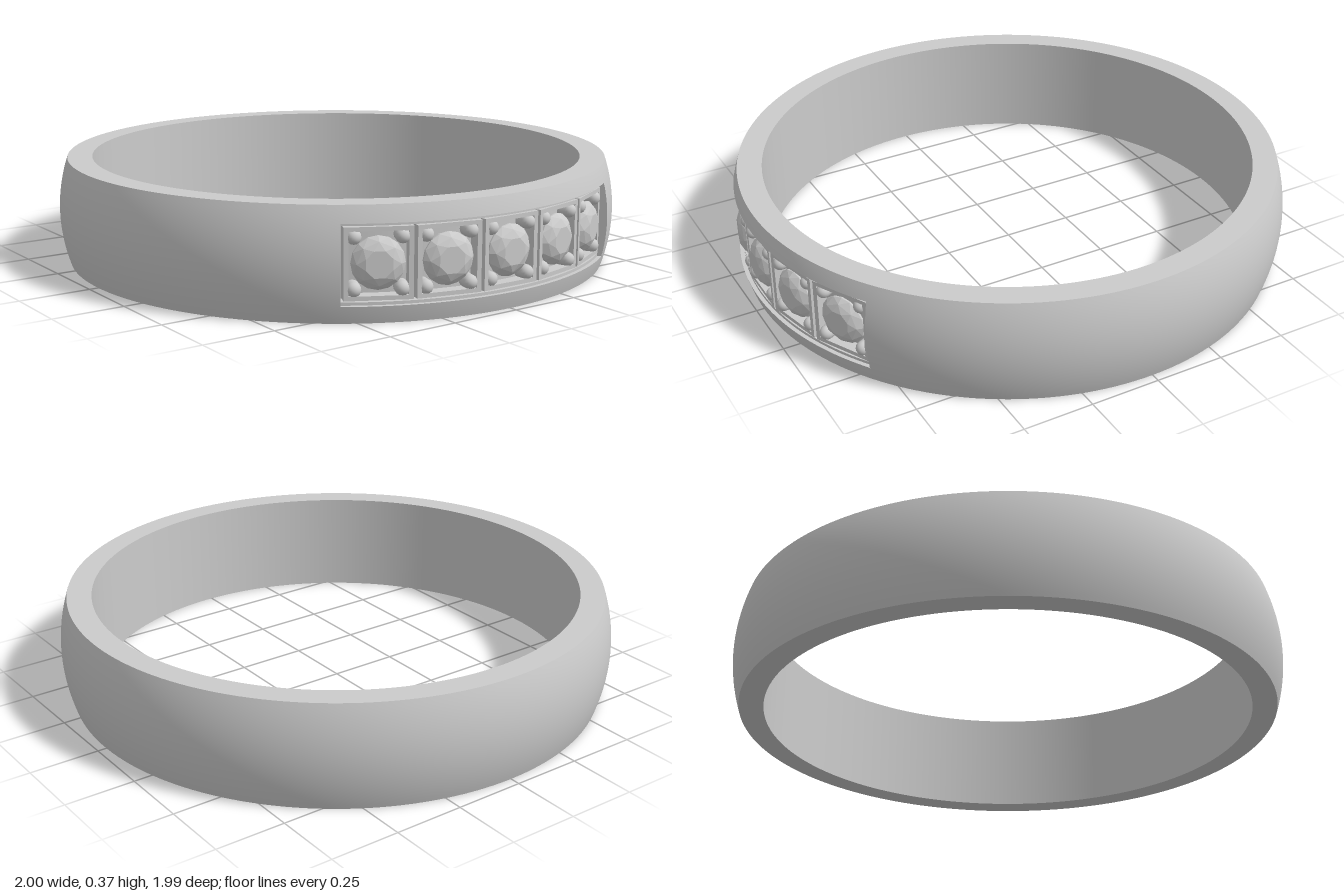
import * as THREE from 'three';
import { mergeGeometries } from 'three/addons/utils/BufferGeometryUtils.js';
import { ConvexGeometry } from 'three/addons/geometries/ConvexGeometry.js';

const HEIGHT = 0.374, MID = HEIGHT / 2, INNER = 0.88;
const LOW = 0.058, HIGH = 0.318;            // pocket opening
const LEDGE = 0.97, FLOOR = 0.925, STEP = 0.01;
const POCKET = 0.598;                       // half angle of the pocket
const PITCH = 0.238;                        // angle between stones

const material = new THREE.MeshStandardMaterial({ color: 0xcccccc });
const thin = new THREE.MeshStandardMaterial({ color: 0xcccccc, side: THREE.DoubleSide });
const faceted = new THREE.MeshStandardMaterial({ color: 0xcccccc, flatShading: true });

// Radius of the domed outside at height y
const domeRadius = (y) => 1 - 0.032 * ((y - MID) / MID) ** 2;

function dome(y0, y1, n = 12) {
  return Array.from({ length: n + 1 }, (_, i) => {
    const y = y0 + (y1 - y0) * i / n;
    return [domeRadius(y), y];
  });
}

// Each run is lathed separately so that its borders stay sharp
function sweep(runs, start, length, segments) {
  return mergeGeometries(runs.map((run) => new THREE.LatheGeometry(
    run.map(([r, y]) => new THREE.Vector2(r, y)), segments, start, length)));
}

function add(parent, geometry, name, mat = material) {
  const mesh = new THREE.Mesh(geometry, mat);
  mesh.name = name;
  parent.add(mesh);
  return mesh;
}

// Cut gem pointing along +z, girdle at z = 0
function gemGeometry() {
  const points = [new THREE.Vector3(0, 0, -0.045)];
  const circle = (n, r, z, turn) => {
    for (let i = 0; i < n; i++) {
      const a = (i + turn) / n * Math.PI * 2;
      points.push(new THREE.Vector3(r * Math.cos(a), r * Math.sin(a), z));
    }
  };
  circle(8, 0.046, 0.032, 0.5);
  circle(8, 0.07, 0.021, 0);
  circle(16, 0.086, 0.003, 0);
  circle(16, 0.086, -0.003, 0);
  return new ConvexGeometry(points);
}

function rectangle(target, w, h) {
  target.moveTo(-w / 2, -h / 2);
  target.lineTo(w / 2, -h / 2);
  target.lineTo(w / 2, h / 2);
  target.lineTo(-w / 2, h / 2);
  target.closePath();
  return target;
}

export function createModel() {
  const model = new THREE.Group();
  model.name = 'ring';
  model.position.z = 0.005;

  // Plain band around the sides and back
  const top = [[domeRadius(HEIGHT), HEIGHT], [INNER, HEIGHT]];
  const bottom = [[INNER, 0], [domeRadius(0), 0]];
  const inside = [[INNER, HEIGHT], [INNER, 0]];
  add(model, sweep([dome(0, HEIGHT, 24), top, inside, bottom],
    POCKET, Math.PI * 2 - POCKET * 2, 140), 'band');

  // Front of the band with the stepped pocket
  add(model, sweep([
    dome(0, LOW, 6),
    [[domeRadius(LOW), LOW], [LEDGE, LOW]],
    [[LEDGE, LOW], [LEDGE, LOW + STEP]],
    [[LEDGE, LOW + STEP], [FLOOR, LOW + STEP]],
    [[FLOOR, LOW + STEP], [FLOOR, HIGH - STEP]],
    [[FLOOR, HIGH - STEP], [LEDGE, HIGH - STEP]],
    [[LEDGE, HIGH - STEP], [LEDGE, HIGH]],
    [[LEDGE, HIGH], [domeRadius(HIGH), HIGH]],
    dome(HIGH, HEIGHT, 6),
    top, inside, bottom,
  ], -POCKET, POCKET * 2, 40), 'settingBand');

  // Walls closing both ends of the pocket
  const wall = new THREE.Shape([[FLOOR, LOW], ...dome(LOW, HIGH), [FLOOR, HIGH]]
    .map(([x, y]) => new THREE.Vector2(x, y)));
  for (const side of [-1, 1]) {
    add(model, new THREE.ShapeGeometry(wall), 'pocketEnd', thin)
      .rotation.y = side * POCKET - Math.PI / 2;
  }

  // Square frame that holds one stone
  const frame = rectangle(new THREE.Shape(), 0.219, 0.232);
  frame.holes.push(rectangle(new THREE.Path(), 0.188, 0.204));
  const frameGeometry = new THREE.ExtrudeGeometry(frame, { depth: 0.06, bevelEnabled: false });
  const gem = gemGeometry();
  const prong = new THREE.CapsuleGeometry(0.024, 0.05, 6, 16);
  prong.rotateX(Math.PI / 2);

  // Five settings along the front
  for (let i = -2; i <= 2; i++) {
    const setting = new THREE.Group();
    setting.name = 'setting';
    setting.position.y = (LOW + HIGH) / 2;
    setting.rotation.y = i * PITCH;
    add(setting, frameGeometry, 'frame').position.z = 0.907;
    add(setting, gem, 'stone', faceted).position.z = 0.953;
    for (const x of [-1, 1]) {
      for (const y of [-1, 1]) {
        add(setting, prong, 'prong').position.set(x * 0.076, y * 0.083, 0.929);
      }
    }
    model.add(setting);
  }

  const root = new THREE.Group();
  root.name = 'jewelledRing';
  root.add(model);
  return root;
}
